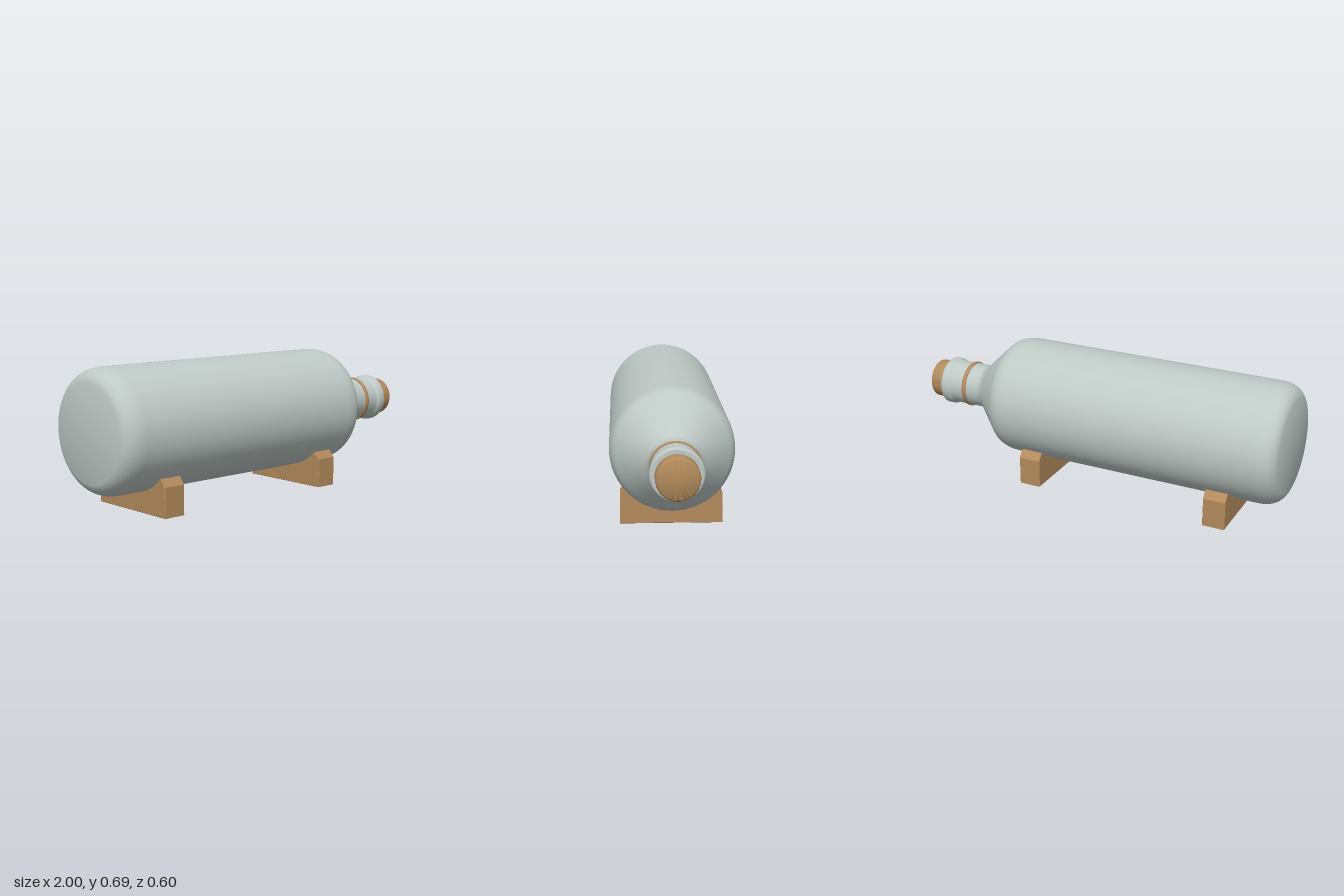
import * as THREE from 'three';
import { toCreasedNormals } from 'three/addons/utils/BufferGeometryUtils.js';

const AXIS_Y = 0.39;

export function createModel() {
  const model = new THREE.Group();
  model.name = 'bottleOnCradles';
  const glass = new THREE.MeshStandardMaterial({ color: 0xbfc9c5 });
  glass.name = 'pale glass';
  const wood = new THREE.MeshStandardMaterial({ color: 0xb38b5d });
  wood.name = 'cork wood';

  // Turns a profile path (radius, position along x) around the bottle axis
  function turned(name, path, material) {
    const lathe = new THREE.LatheGeometry(path.getPoints(8), 64);
    const mesh = new THREE.Mesh(toCreasedNormals(lathe, 0.6), material);
    mesh.name = name;
    mesh.rotation.z = -Math.PI / 2;
    mesh.position.y = AXIS_Y;
    model.add(mesh);
  }

  // Bottle: flat base, rounded heel, straight body, sloping shoulder, neck and lip
  const bottle = new THREE.Path();
  bottle.moveTo(0, -1);
  bottle.lineTo(0.235, -1);
  bottle.bezierCurveTo(0.272, -0.99, 0.3, -0.955, 0.3, -0.89);
  bottle.lineTo(0.3, 0.41);
  bottle.bezierCurveTo(0.3, 0.47, 0.292, 0.5, 0.268, 0.525);
  bottle.lineTo(0.17, 0.625);
  bottle.bezierCurveTo(0.14, 0.655, 0.114, 0.675, 0.113, 0.705);
  bottle.lineTo(0.113, 0.855);
  bottle.bezierCurveTo(0.113, 0.875, 0.123, 0.865, 0.123, 0.885);
  bottle.lineTo(0.123, 0.905);
  bottle.quadraticCurveTo(0.123, 0.92, 0.112, 0.92);
  bottle.lineTo(0.09, 0.92);
  turned('bottle', bottle, glass);

  // Stopper with softened end
  const stopper = new THREE.Path();
  stopper.moveTo(0.094, 0.9);
  stopper.lineTo(0.094, 0.92);
  stopper.quadraticCurveTo(0.099, 0.925, 0.099, 0.94);
  stopper.lineTo(0.099, 0.98);
  stopper.quadraticCurveTo(0.099, 0.994, 0.09, 0.997);
  stopper.lineTo(0, 1);
  turned('stopper', stopper, wood);

  // Slim ring around the neck
  const ring = new THREE.Path();
  ring.moveTo(0.11, 0.768);
  ring.lineTo(0.117, 0.768);
  ring.quadraticCurveTo(0.123, 0.779, 0.117, 0.79);
  ring.lineTo(0.11, 0.79);
  turned('neckRing', ring, wood);

  // Cradles: blocks with clipped corners and a round saddle
  const R = 0.301, top = 0.18;
  const half = Math.sqrt(R * R - (AXIS_Y - top) ** 2);
  const angle = Math.atan2(top - AXIS_Y, half);
  const outline = new THREE.Shape();
  outline.moveTo(-0.25, 0);
  outline.lineTo(0.25, 0);
  outline.lineTo(0.25, 0.145);
  outline.lineTo(half + 0.006, top);
  outline.lineTo(half, top);
  outline.absarc(0, AXIS_Y, R, angle, -Math.PI - angle, true);
  outline.lineTo(-half - 0.006, top);
  outline.lineTo(-0.25, 0.145);
  const bevel = 0.002, width = 0.114;
  const block = new THREE.ExtrudeGeometry(outline, {
    depth: width - 2 * bevel, curveSegments: 32,
    bevelSize: bevel, bevelThickness: bevel, bevelOffset: -bevel, bevelSegments: 1,
  });
  block.translate(0, 0, bevel - width / 2).rotateY(Math.PI / 2);
  const cradleGeometry = toCreasedNormals(block, 0.5);
  for (const [name, x] of [['rearCradle', -0.705], ['neckCradle', 0.307]]) {
    const cradle = new THREE.Mesh(cradleGeometry, wood);
    cradle.name = name;
    cradle.position.x = x;
    model.add(cradle);
  }
  return model;
}
